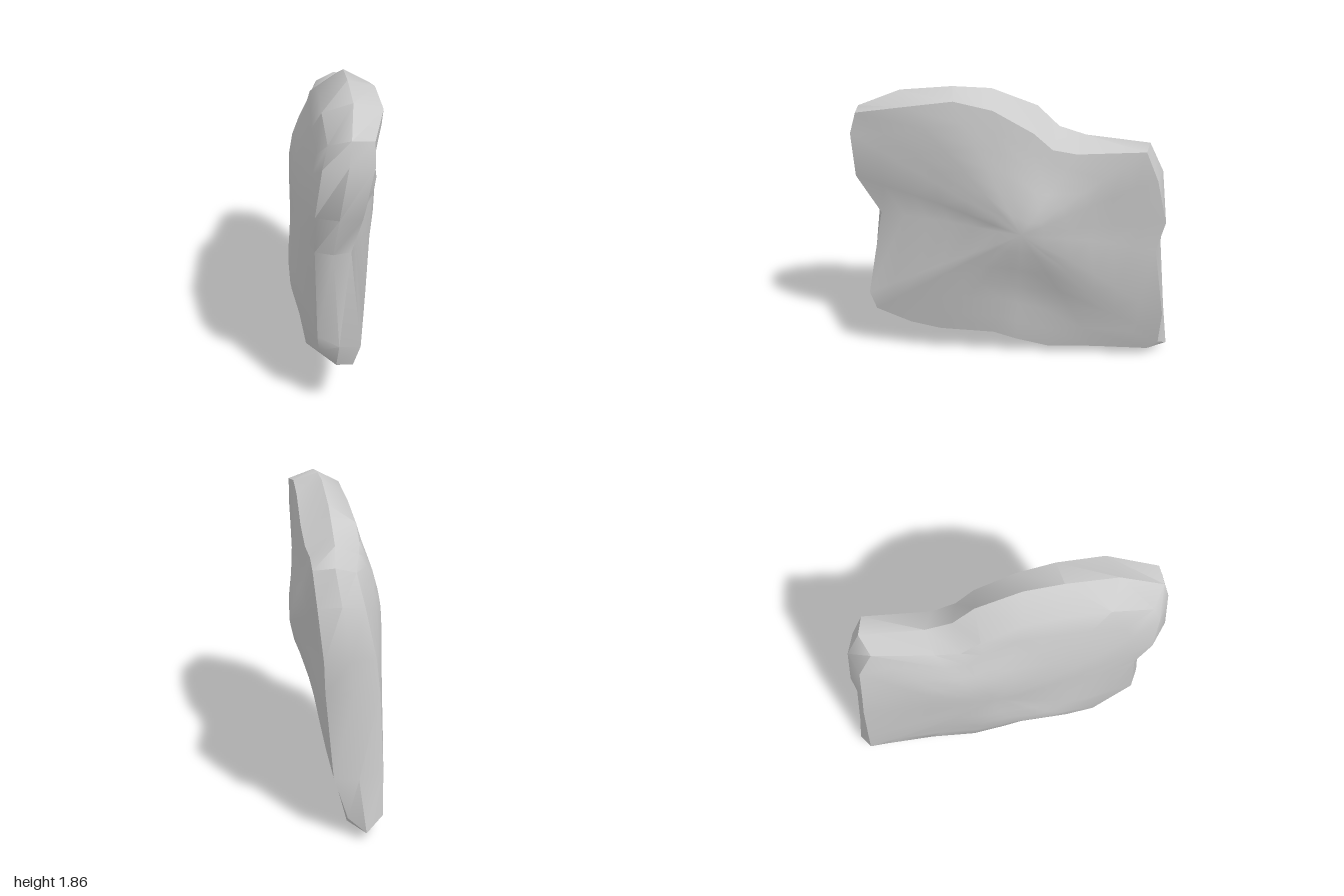
import * as THREE from 'three';
import { toCreasedNormals } from 'three/addons/utils/BufferGeometryUtils.js';

// Outline of the slab, front top over the back and round underneath:
// z, y, x of left edge, x of right edge, inset of left edge, inset of right edge
const OUTLINE = [
  [0.94, 1.72, 0.18, -0.06, 0.01, 0.09],
  [0.68, 1.83, 0.25, -0.08, 0.07, 0.10],
  [0.37, 1.855, 0.23, -0.08, 0.05, 0.12],
  [0.14, 1.845, 0.22, -0.09, 0.09, 0.12],
  [-0.13, 1.74, 0.21, -0.12, 0.12, 0.11],
  [-0.26, 1.61, 0.19, -0.13, 0.10, 0.08],
  [-0.42, 1.56, 0.17, -0.11, 0.09, 0.07],
  [-0.80, 1.53, 0.18, -0.06, 0.03, 0.07],
  [-0.89, 1.34, 0.16, -0.10, 0.04, 0.06],
  [-0.92, 1.04, 0.13, -0.16, 0.00, 0.06],
  [-0.91, 0.84, 0.12, -0.18, 0.04, 0.03],
  [-0.96, 0.36, 0.08, -0.20, 0.02, 0.06],
  [-1.00, 0.05, 0.00, -0.20, 0.09, 0.10],
  [-0.88, 0.045, 0.00, -0.19, 0.02, 0.08],
  [-0.53, 0.025, 0.00, -0.18, 0.04, 0.08],
  [-0.22, 0.00, 0.00, -0.20, 0.05, 0.12],
  [0.00, 0.08, 0.04, -0.20, 0.04, 0.12],
  [0.15, 0.165, 0.07, -0.20, 0.02, 0.11],
  [0.50, 0.19, 0.07, -0.19, 0.01, 0.09],
  [0.69, 0.24, 0.07, -0.18, 0.00, 0.09],
  [0.91, 0.34, 0.08, -0.11, 0.00, 0.09],
  [0.94, 0.48, 0.12, -0.12, 0.00, 0.07],
  [0.87, 1.03, 0.07, -0.13, 0.03, 0.04],
  [1.00, 1.30, 0.12, -0.13, 0.03, 0.10],
  [0.98, 1.59, 0.18, -0.09, 0.01, 0.08],
];
const CENTRE = { z: -0.05, y: 1.0, left: 0.28, right: -0.255 };

// Hollows (negative) and swellings of each face: z, y, radius, height
const RELIEF = {
  left: [
    [0.4, 1.2, 0.3, -0.03], [-0.55, 1.0, 0.35, -0.035], [-0.15, 0.48, 0.28, -0.04],
    [-0.08, 1.14, 0.18, 0.035], [0, 0.9, 0.13, 0.02], [-0.42, 0.32, 0.14, -0.015],
  ],
  right: [
    [0.1, 0.52, 0.3, 0.04], [0.47, 0.65, 0.25, 0.03], [0, 1.6, 0.2, -0.025],
    [0, 0.9, 0.15, -0.015], [-0.32, 1.25, 0.27, 0.035],
  ],
};

// Ring on one broad face; s runs from 0 at the edge to 1 at the centre
function faceRing(side, s) {
  const left = side === 'left';
  return OUTLINE.map(([z, y, xl, xr, il, ir]) => {
    const dz = CENTRE.z - z, dy = CENTRE.y - y;
    const inset = (left ? il : ir) / Math.hypot(dz, dy);
    const t = inset + (1 - inset) * s;
    const pz = z + dz * t, py = y + dy * t;
    const edge = left ? xl : xr;
    const ease = left ? s : 1 - (1 - s) ** 1.8;
    const fade = Math.min(1, s * 3) * (1 - s ** 4);
    let x = edge + (CENTRE[side] - edge) * ease;
    for (const [z0, y0, r, h] of RELIEF[side]) {
      const d2 = (pz - z0) ** 2 + (py - y0) ** 2;
      x += (left ? 1 : -1) * fade * h * Math.exp(-d2 / (r * r));
    }
    return new THREE.Vector3(x, py, pz);
  });
}

// Crest of the rim, between both edges
function crestRing() {
  return OUTLINE.map(([z, y, xl, xr]) => new THREE.Vector3((xl + xr) / 2, y, z));
}

function loft(rings) {
  const positions = [];
  const n = rings[0].length;
  const triangle = (...corners) => corners.forEach((p) => positions.push(p.x, p.y, p.z));
  for (let r = 0; r < rings.length - 1; r++) {
    for (let i = 0; i < n; i++) {
      const j = (i + 1) % n;
      const a = rings[r][i], b = rings[r][j], c = rings[r + 1][i], d = rings[r + 1][j];
      if (r > 0) triangle(a, b, c);
      if (r < rings.length - 2) triangle(b, d, c);
    }
  }
  const geometry = new THREE.BufferGeometry();
  geometry.setAttribute('position', new THREE.Float32BufferAttribute(positions, 3));
  return toCreasedNormals(geometry, 0.75);
}

export function createModel() {
  const steps = [0, 0.17, 0.34, 0.5, 0.67, 0.84, 1];
  const rings = [
    ...[...steps].reverse().map((s) => faceRing('left', s)),
    crestRing(),
    ...steps.map((s) => faceRing('right', s)),
  ];
  const rock = new THREE.Mesh(loft(rings), new THREE.MeshStandardMaterial({ color: 0xcccccc }));
  rock.name = 'rockSlab';
  const group = new THREE.Group();
  group.name = 'rock';
  group.add(rock);
  return group;
}
